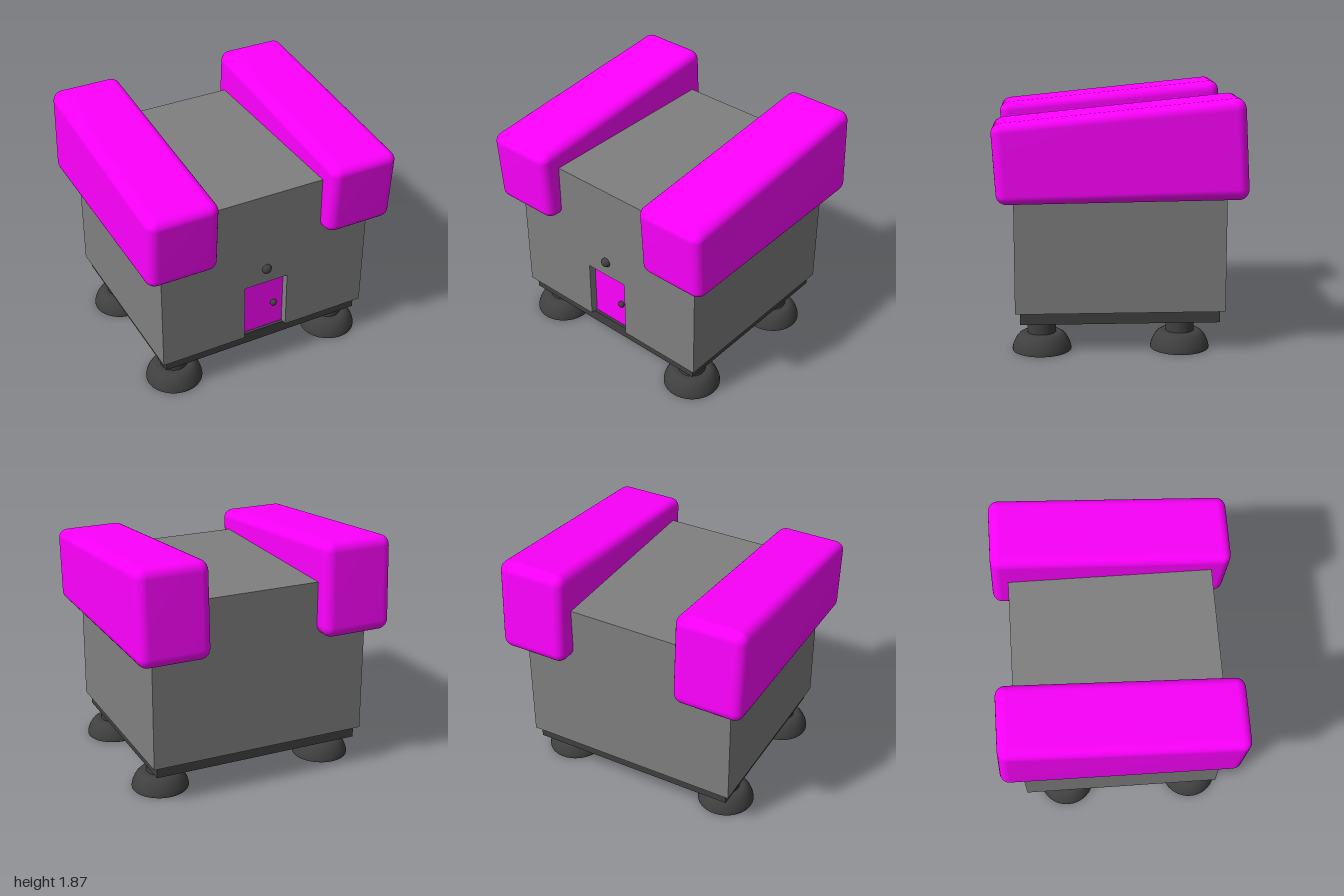
import * as THREE from 'three';
import { RoundedBoxGeometry } from 'three/addons/geometries/RoundedBoxGeometry.js';
import { mergeVertices } from 'three/addons/utils/BufferGeometryUtils.js';

const grey = new THREE.MeshStandardMaterial({ color: 0x808080 });
const dark = new THREE.MeshStandardMaterial({ color: 0x404040 });
const magenta = new THREE.MeshStandardMaterial({ color: 0xff00ff });

function add(parent, name, geometry, material, x = 0, y = 0, z = 0) {
  const mesh = new THREE.Mesh(geometry, material);
  mesh.name = name;
  mesh.position.set(x, y, z);
  parent.add(mesh);
  return mesh;
}

// Rounded box whose side outline is skewed to four corners given as [z, y]
function wedgeGeometry(width, frontTop, frontBottom, backBottom, backTop) {
  const h = 0.65, d = 1.79;
  let g = new RoundedBoxGeometry(width, h, d, 4, 0.075);
  g.deleteAttribute('normal');
  g.deleteAttribute('uv');
  g = mergeVertices(g, 1e-4);
  const p = g.attributes.position;
  const mix = THREE.MathUtils.lerp;
  for (let i = 0; i < p.count; i++) {
    const u = p.getZ(i) / d + 0.5, v = p.getY(i) / h + 0.5;
    const at = (k) => mix(mix(backBottom[k], frontBottom[k], u), mix(backTop[k], frontTop[k], u), v);
    p.setXYZ(i, p.getX(i), at(1), at(0));
  }
  g.computeVertexNormals();
  return g;
}

export function createModel() {
  const model = new THREE.Group();
  model.name = 'house';

  // Main block, with a front wall notched for the doorway
  const W = 0.86, bottom = 0.31, top = 1.56, front = 0.765, recess = 0.7;
  add(model, 'body', new THREE.BoxGeometry(2 * W, top - bottom, recess + front), grey,
    0, (top + bottom) / 2, (recess - front) / 2);
  const wall = new THREE.Shape([
    [-W, bottom], [-0.18, bottom], [-0.18, 0.785], [0.18, 0.785],
    [0.18, bottom], [W, bottom], [W, top], [-W, top],
  ].map(([x, y]) => new THREE.Vector2(x, y)));
  add(model, 'frontWall', new THREE.ExtrudeGeometry(wall, { depth: front - recess, bevelEnabled: false }),
    grey, 0, 0, recess);

  // Door, its dark top gap, and knobs
  add(model, 'door', new THREE.BoxGeometry(0.36, 0.465, 0.012), magenta, 0, 0.5425, recess);
  add(model, 'doorLintel', new THREE.BoxGeometry(0.36, 0.012, 0.01), dark, 0, 0.78, recess);
  add(model, 'doorKnob', new THREE.SphereGeometry(0.026, 20, 14), dark, 0.097, 0.52, recess + 0.015);
  add(model, 'frontLamp', new THREE.SphereGeometry(0.039, 24, 16), dark, 0, 0.91, 0.762);

  // Base plate
  add(model, 'basePlate', new THREE.BoxGeometry(1.65, 0.09, 1.46), dark, 0, 0.265, 0);

  // Sloping rounded beams over both upper edges
  const beam = wedgeGeometry(0.55, [0.915, 1.7], [0.88, 1.13], [-0.913, 1.152], [-0.872, 1.88]);
  add(model, 'leftBeam', beam, magenta, 0.725);
  add(model, 'rightBeam', beam, magenta, -0.725);

  // Domed feet with short stems
  const dome = new THREE.LatheGeometry([
    [0.2175, 0], [0.2175, 0.012], [0.213, 0.035], [0.2, 0.068], [0.184, 0.096],
    [0.166, 0.117], [0.148, 0.128], [0.13, 0.132], [0.001, 0.132],
  ].map(([r, y]) => new THREE.Vector2(r, y)), 40);
  const sole = new THREE.CircleGeometry(0.2175, 40).rotateX(Math.PI / 2);
  const stem = new THREE.CylinderGeometry(0.105, 0.105, 0.11, 32);
  for (const x of [0.69, -0.69]) {
    for (const z of [0.575, -0.447]) {
      const foot = new THREE.Group();
      foot.name = (z > 0 ? 'front' : 'back') + (x > 0 ? 'Left' : 'Right') + 'Foot';
      foot.position.set(x, 0, z);
      add(foot, 'dome', dome, dark);
      add(foot, 'sole', sole, dark);
      add(foot, 'stem', stem, dark, 0, 0.175, 0);
      model.add(foot);
    }
  }
  return model;
}
